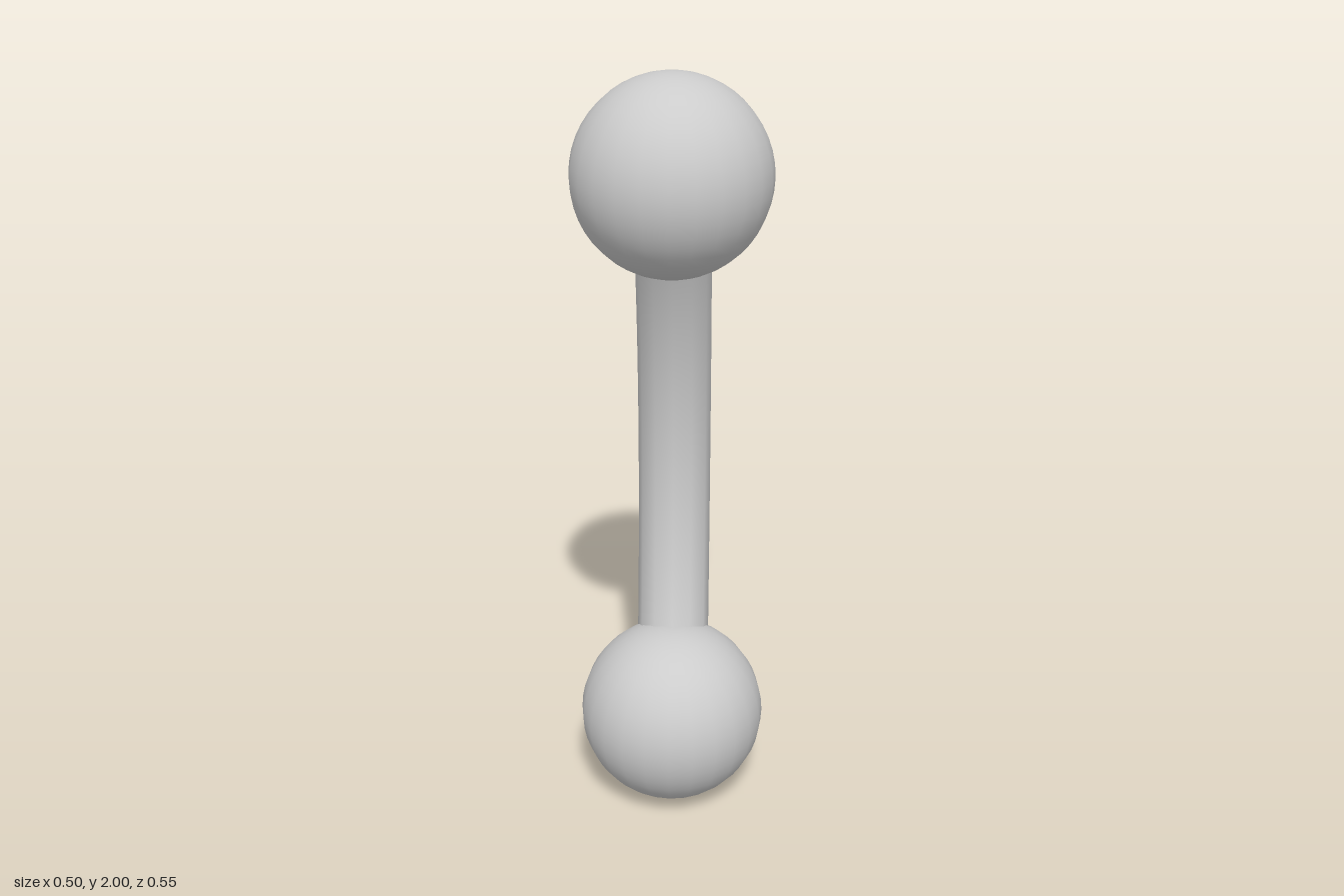
import * as THREE from 'three';

// Circular arc in the YZ plane, bowing towards the back
class BowArc extends THREE.Curve {
  constructor(radius, halfAngle, centre) {
    super();
    Object.assign(this, { radius, halfAngle, centre });
  }
  getPoint(t, target = new THREE.Vector3()) {
    const a = (t * 2 - 1) * this.halfAngle;
    return target.set(
      0,
      this.centre.y + this.radius * Math.sin(a),
      this.centre.z - this.radius * Math.cos(a)
    );
  }
}

export function createModel() {
  const model = new THREE.Group();
  model.name = 'curvedBarbell';
  const material = new THREE.MeshStandardMaterial({ color: 0xcccccc });

  const ballRadius = 0.25, ballZ = 0.025, barRadius = 0.098;
  const arcRadius = 1.5, halfAngle = Math.asin(0.75 / arcRadius);

  // Bent bar, its ends buried in the balls
  const centre = new THREE.Vector3(0, 1, ballZ + arcRadius * Math.cos(halfAngle));
  const arc = new BowArc(arcRadius, halfAngle, centre);
  const bar = new THREE.Mesh(new THREE.TubeGeometry(arc, 32, barRadius, 12), material);
  bar.name = 'curvedBar';
  model.add(bar);

  // End balls
  const ballGeometry = new THREE.SphereGeometry(ballRadius, 24, 24);
  for (const [name, y] of [['upperBall', 2 - ballRadius], ['lowerBall', ballRadius]]) {
    const ball = new THREE.Mesh(ballGeometry, material);
    ball.name = name;
    ball.position.set(0, y, ballZ);
    model.add(ball);
  }

  return model;
}
